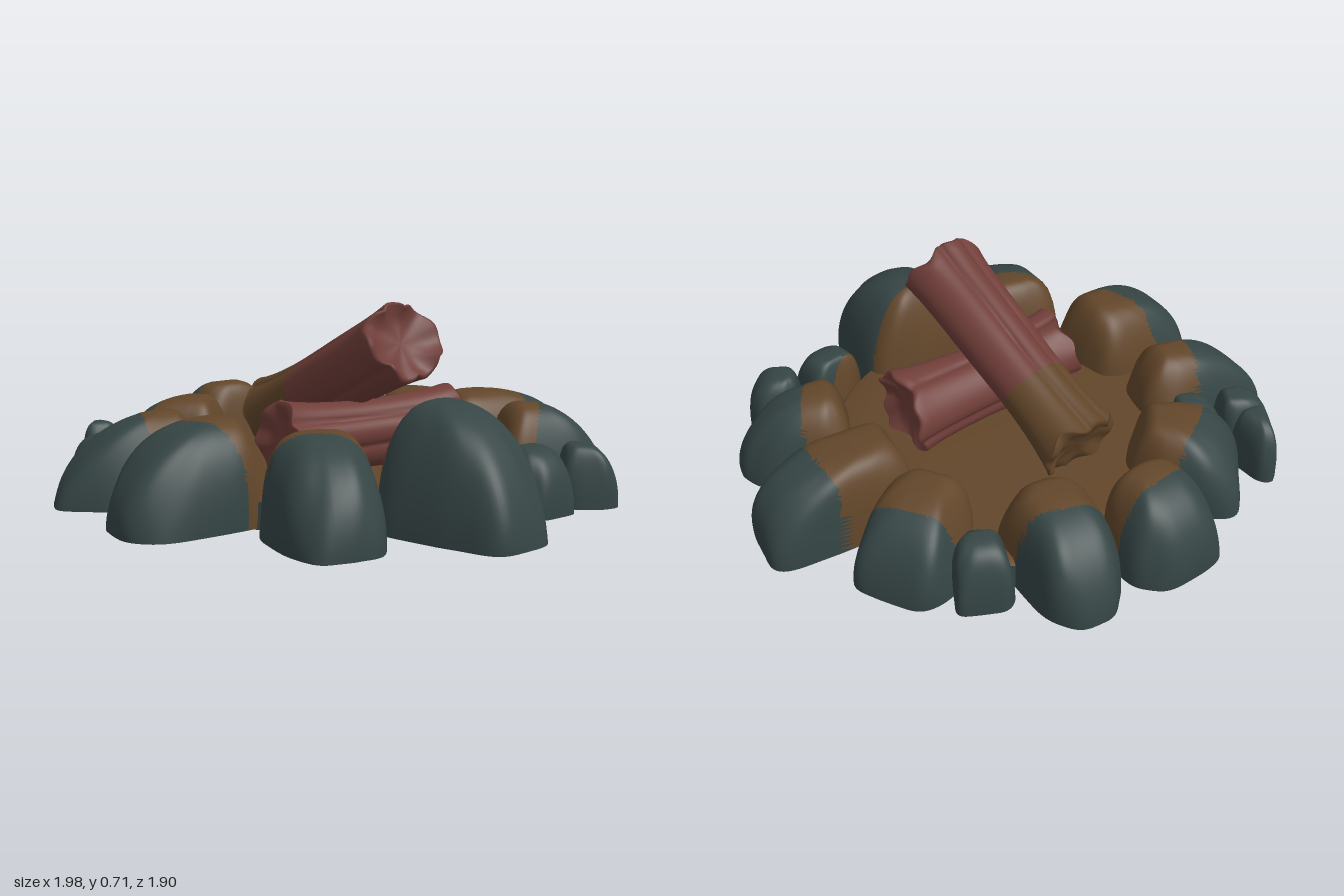
import * as THREE from 'three';

const material = (name, color) => Object.assign(new THREE.MeshStandardMaterial({ color }), { name });
const slate = material('slate', 0x364545);
const soil = material('soil', 0x62462a);
const bark = material('redBark', 0x703e39);
const BASE = 0.015;

// Surface wrapped round closed rings; pick(x, y, z) chooses the material group of a face.
function loft(rows, cols, point, pick) {
  const pos = [], lists = [[], []], p = new THREE.Vector3();
  for (let i = 0; i < rows; i++) {
    for (let j = 0; j < cols; j++) {
      point(i, (j / cols) * Math.PI * 2, p);
      pos.push(p.x, p.y, p.z);
    }
  }
  const geo = new THREE.BufferGeometry();
  geo.setAttribute('position', new THREE.Float32BufferAttribute(pos, 3));
  for (let i = 0; i < rows - 1; i++) {
    for (let j = 0; j < cols; j++) {
      const a = i * cols + j, b = i * cols + (j + 1) % cols, c = a + cols, d = b + cols;
      for (const tri of [[a, b, c], [b, d, c]]) {
        const mid = (k) => (pos[tri[0] * 3 + k] + pos[tri[1] * 3 + k] + pos[tri[2] * 3 + k]) / 3;
        lists[pick ? pick(mid(0), mid(1), mid(2)) : 0].push(...tri);
      }
    }
  }
  geo.setIndex([...lists[0], ...lists[1]]);
  if (pick) {
    geo.addGroup(0, lists[0].length, 0);
    geo.addGroup(lists[0].length, lists[1].length, 1);
  }
  geo.computeVertexNormals();
  return geo;
}

// Oval boundary of the soil tint on the stones
const tint = (x, z) => Math.hypot((x - 0.03) / 0.72, (z + 0.05) / 0.64);
const spow = (v, e) => Math.sign(v) * Math.abs(v) ** e;

// Boulder: steep towards the fire, sloping outwards, on a rounded box footprint
function stone([xi, zi, xo, zo, wi, wo, h, slope, reach = 1], seed) {
  const rows = 34, cols = 72;
  const half = Math.hypot(xo - xi, zo - zi) / 2;
  const dx = (xo - xi) / 2 / half, dz = (zo - zi) / 2 / half;
  const cx = (xi + xo) / 2, cz = (zi + zo) / 2;
  const geo = loft(rows, cols, (i, a, p) => {
    const phi = Math.max(0, (i - 2) / (rows - 3)) * Math.PI / 2;
    const c = Math.max(0, Math.cos(phi));
    const s = i === 0 ? 0 : c ** (0.8 * slope);
    const lump = 1 + 0.035 * Math.sin(3 * a + seed * 2.1 + phi * 2) + 0.025 * Math.sin(5 * a + seed * 4.7 - phi * 3);
    const ring = spow(Math.cos(a), 0.62);
    const u = ring * s * lump - (i === 0 ? 0 : 0.5 * (1 - s));
    const width = THREE.MathUtils.lerp(wi, wo, (ring + 1) / 2) / 2;
    const w = spow(Math.sin(a), 0.62) * width * (s ** 0.75) * lump * 1.06;
    const y = BASE + (h - BASE) * Math.sin(phi) ** slope;
    p.set(cx + dx * u * half + dz * w, y, cz + dz * u * half - dx * w);
  }, (x, y, z) => (y > BASE + 0.0005 && tint(x, z) < reach ? 1 : 0));

  // Slide nearby vertices onto the tint boundary, for a clean edge
  const pos = geo.attributes.position;
  for (let i = cols * 2; i < pos.count; i++) {
    const x = pos.getX(i), z = pos.getZ(i), t = tint(x, z) / reach;
    if (Math.abs(t - 1) < 0.009) {
      pos.setX(i, 0.03 + (x - 0.03) / t);
      pos.setZ(i, -0.05 + (z + 0.05) / t);
    }
  }
  return new THREE.Mesh(geo, [slate, soil]);
}

// Grooved log from point a to b; builds the stretch t0..t1, with hollowed caps at the true ends
function log(a, b, r, seed, t0, t1, mat) {
  const axis = b.clone().sub(a), length = axis.length();
  axis.normalize();
  const e1 = new THREE.Vector3(0, 1, 0).cross(axis).normalize();
  const e2 = axis.clone().cross(e1);
  // Each ring: [position along log, radius scale, inward dent]
  const rings = [];
  if (t0 === 0) rings.push([0, 0, 0.02], [0, 0.4, 0.02], [0, 0.7, 0.015], [0, 0.9, 0], [0, 1, 0.012]);
  for (let i = 0; i <= 20; i++) rings.push([THREE.MathUtils.lerp(t0, t1, i / 20), 1, t0 + i === 0 ? 0.012 : 0]);
  if (t1 === 1) rings.push([1, 0.97, 0.01], [1, 0.9, 0.012], [1, 0.7, -0.012], [1, 0.4, -0.02], [1, 0, -0.02]);
  const geo = loft(rings.length, 84, (i, ang, p) => {
    const [t, scale, dent] = rings[i];
    const q = ang + 0.35 * Math.sin(2 * ang + seed) + 0.2 * t;
    const groove = 0.87 + 0.17 * Math.abs(Math.sin(2.5 * q)) ** 0.5 + 0.05 * Math.sin(2 * ang + seed * 3);
    const flare = 1 + 0.14 * (2 * t - 1) ** 4 + 0.03 * Math.sin(t * 7 + seed);
    // Grooves fade out towards the middle of the caps
    const R = r * flare * scale * THREE.MathUtils.lerp(0.97, groove, scale ** 3);
    const jag = (0.016 * Math.sin(3 * ang + seed) + 0.012 * Math.sin(7 * ang + seed * 2)) * scale ** 4 * (2 * t - 1) ** 5;
    p.copy(a).addScaledVector(axis, t * length + dent + jag)
      .addScaledVector(e1, R * Math.cos(ang)).addScaledVector(e2, R * Math.sin(ang));
  });
  return new THREE.Mesh(geo, mat);
}

export function createModel() {
  const model = new THREE.Group();
  model.name = 'campfire';
  const add = (name, mesh) => { mesh.name = name; model.add(mesh); };

  // Ground plate and the low mound of soil, slightly oval
  const plate = new THREE.Mesh(new THREE.CylinderGeometry(0.625, 0.635, 0.09, 48), slate);
  plate.position.y = 0.057;
  const profile = [[0.625, 0.102], [0.61, 0.12], [0.5, 0.13], [0.25, 0.137], [0, 0.14]];
  const mound = new THREE.Mesh(new THREE.LatheGeometry(profile.map(([x, y]) => new THREE.Vector2(x, y)), 48), soil);
  add('groundPlate', plate);
  add('soilMound', mound);
  for (const mesh of [plate, mound]) {
    mesh.position.x = 0.03;
    mesh.position.z = -0.06;
    mesh.scale.z = 1.06;
  }

  // Stones: inner x, z, outer x, z, inner width, outer width, height, slope, reach of the soil tint
  const boulders = [
    [0.13, 0.43, 0.325, 0.92, 0.48, 0.3, 0.43, 1.15, 0.93],
    [-0.22, 0.43, -0.24, 0.89, 0.44, 0.24, 0.35, 1.05, 1.08],
    [-0.35, 0.24, -0.85, 0.37, 0.36, 0.38, 0.36, 1.1],
    [-0.46, -0.07, -0.99, -0.05, 0.36, 0.24, 0.33, 1.25],
    [-0.33, -0.33, -0.69, -0.53, 0.31, 0.36, 0.32, 1],
    [-0.23, -0.54, -0.32, -0.87, 0.3, 0.34, 0.33, 1, 1.09],
    [0.1, -0.49, 0.04, -0.93, 0.34, 0.27, 0.33, 0.95, 1.03],
    [0.35, -0.32, 0.64, -0.63, 0.32, 0.32, 0.31, 1],
    [0.42, -0.13, 0.98, -0.235, 0.3, 0.32, 0.33, 0.9, 1.03],
    [0.54, 0.14, 0.95, 0.18, 0.38, 0.2, 0.33, 1.1],
  ];
  const pebbles = [
    [0.33, -0.6, 0.36, -0.78, 0.18, 0.19, 0.25, 0.85],
    [0.51, 0.4, 0.59, 0.59, 0.22, 0.2, 0.24, 0.85],
    [0.67, 0.41, 0.86, 0.46, 0.17, 0.18, 0.23, 0.85],
    [-0.79, -0.34, -0.8, -0.54, 0.17, 0.06, 0.24, 0.85],
    [-0.72, -0.25, -0.92, -0.28, 0.15, 0.16, 0.22, 0.85],
    [-0.55, -0.22, -0.74, -0.25, 0.18, 0.12, 0.22, 0.85, 0.8],
  ];
  boulders.forEach((s, i) => add('boulder' + (i + 1), stone(s, i + 1)));
  pebbles.forEach((s, i) => add('smallStone' + (i + 1), stone(s, i + 20)));

  // Lying log, and the leaning log with its soil-covered foot
  const v = (x, y, z) => new THREE.Vector3(x, y, z);
  add('lyingLog', log(v(-0.27, 0.24, 0.2), v(0.38, 0.24, 0.03), 0.127, 1.3, 0, 1, bark));
  const foot = v(-0.13, 0.245, -0.37), tip = v(0.12, 0.59, 0.36);
  add('leaningLogFoot', log(foot, tip, 0.125, 2.6, 0, 0.33, soil));
  add('leaningLog', log(foot, tip, 0.125, 2.6, 0.33, 1, bark));
  return model;
}
